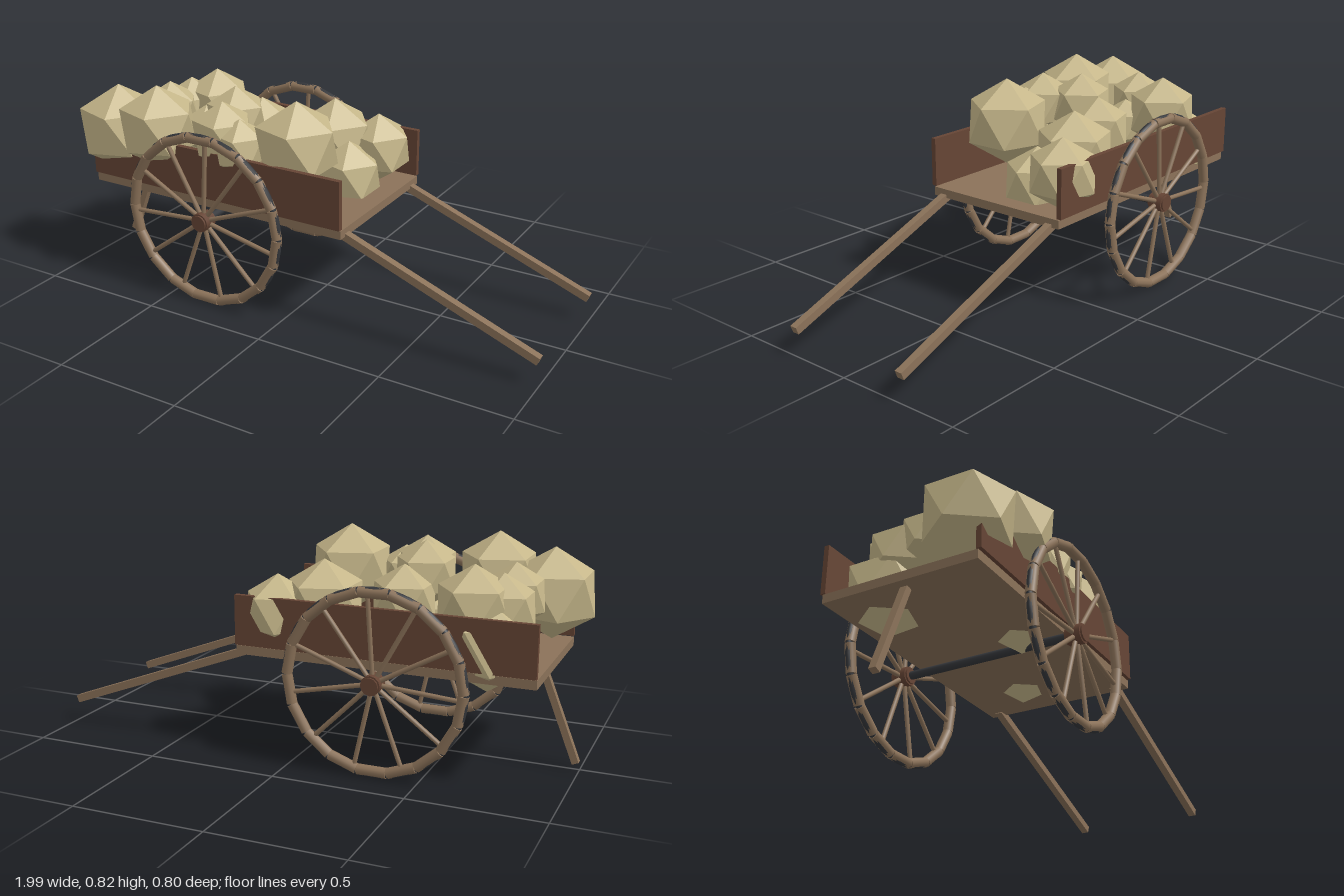
import * as THREE from 'three';

const mat = (name, color, extra = {}) => {
  const m = new THREE.MeshStandardMaterial({ color, ...extra });
  m.name = name;
  return m;
};

export function createModel() {
  const wood = mat('light wood', 0x8b7259);
  const darkWood = mat('dark wood', 0x664535);
  const iron = mat('iron', 0x35373b);
  const stone = mat('sandstone', 0xc6b78a, { flatShading: true });

  const cart = new THREE.Group();
  cart.name = 'handcart';
  const add = (parent, name, geometry, material, x = 0, y = 0, z = 0) => {
    const mesh = new THREE.Mesh(geometry, material);
    mesh.name = name;
    mesh.position.set(x, y, z);
    parent.add(mesh);
    return mesh;
  };

  // Square bar between two points in the plane at depth z
  const bar = (name, x0, y0, x1, y1, z, t, w) => {
    const length = Math.hypot(x1 - x0, y1 - y0);
    const mesh = add(cart, name, new THREE.BoxGeometry(length, t, w), wood,
      (x0 + x1) / 2, (y0 + y1) / 2, z);
    mesh.rotation.z = Math.atan2(y1 - y0, x1 - x0);
  };

  // Bed and side walls
  add(cart, 'bed', new THREE.BoxGeometry(1.13, 0.034, 0.614), wood, -0.33, 0.402, 0);
  for (const s of [1, -1]) {
    add(cart, 'sideWall', new THREE.BoxGeometry(1.13, 0.19, 0.02), darkWood, -0.33, 0.518, s * 0.308);
    bar('handle', 0.2, 0.395, 0.99, 0.097, s * 0.26, 0.03, 0.03);
  }
  bar('restLeg', -0.845, 0.385, -0.985, 0.03, 0, 0.026, 0.028);

  // Axle
  const axleY = 0.354;
  const axle = add(cart, 'axle', new THREE.CylinderGeometry(0.016, 0.016, 0.7, 12), iron, -0.33, axleY, 0);
  axle.rotation.x = Math.PI / 2;

  // Wheels: iron tyre, rim segments, spokes and hub
  const segments = 18, spokes = 11, rim = 0.326;
  const segmentGeo = new THREE.CylinderGeometry(0.02, 0.02, 2 * rim * Math.tan(Math.PI / segments) * 0.97, 10);
  const spokeGeo = new THREE.CylinderGeometry(0.009, 0.009, 0.3, 8);
  for (const s of [1, -1]) {
    const wheel = new THREE.Group();
    wheel.name = 'wheel';
    wheel.position.set(-0.33, axleY, s * 0.365);
    cart.add(wheel);
    add(wheel, 'tyre', new THREE.TorusGeometry(0.336, 0.013, 8, 48), iron);
    for (let i = 0; i < segments; i++) {
      const a = (i + 0.5) / segments * Math.PI * 2;
      add(wheel, 'rimSegment', segmentGeo, wood, rim * Math.cos(a), rim * Math.sin(a)).rotation.z = a;
    }
    for (let i = 0; i < spokes; i++) {
      const a = 1.5 + i / spokes * Math.PI * 2;
      add(wheel, 'spoke', spokeGeo, wood, 0.17 * Math.cos(a), 0.17 * Math.sin(a)).rotation.z = a - Math.PI / 2;
    }
    add(wheel, 'hub', new THREE.CylinderGeometry(0.037, 0.037, 0.056, 12), darkWood).rotation.x = Math.PI / 2;
    add(wheel, 'hubCap', new THREE.CylinderGeometry(0.031, 0.031, 0.07, 12), darkWood).rotation.x = Math.PI / 2;
  }

  // Load of rocks, each one point up: x, y, z, radius
  const rockGeo = new THREE.IcosahedronGeometry(1, 0);
  rockGeo.rotateX(-Math.atan((1 + Math.sqrt(5)) / 2)).rotateY(Math.PI / 2);
  const rocks = [
    [-0.826, 0.602, 0.225, 0.176],
    [-0.605, 0.652, 0.26, 0.165],
    [-0.035, 0.65, 0.165, 0.172],
    [-0.335, 0.47, 0.15, 0.14],
    [0.058, 0.474, -0.065, 0.138],
    [0.103, 0.545, -0.22, 0.14],
    [-0.055, 0.58, -0.152, 0.161],
    [-0.63, 0.622, -0.168, 0.148],
    [-0.377, 0.67, 0.06, 0.128],
    [-0.334, 0.593, -0.058, 0.133],
    [-0.328, 0.658, 0.22, 0.13],
    [-0.237, 0.63, 0.24, 0.11],
    [-0.73, 0.628, 0.02, 0.122],
    [-0.69, 0.487, -0.18, 0.17],
    [-0.58, 0.56, -0.02, 0.105],
    [-0.72, 0.605, -0.11, 0.13],
  ];
  for (const [x, y, z, r] of rocks) add(cart, 'rock', rockGeo, stone, x, y, z).scale.setScalar(r);

  return cart;
}
